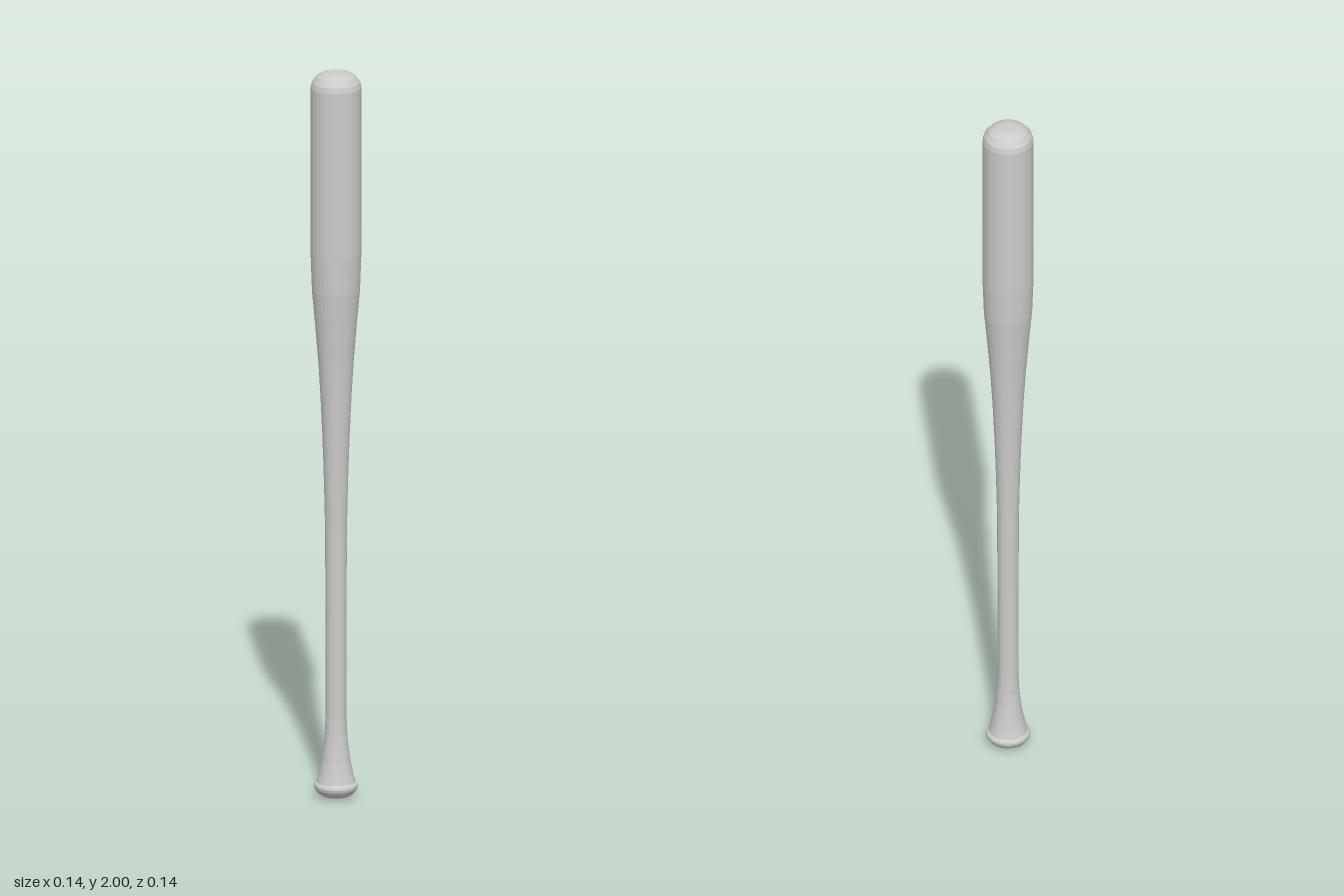
import * as THREE from 'three';

const material = new THREE.MeshStandardMaterial({ color: 0xcccccc, flatShading: true });
const SIDES = 32;

// Turned part from [radius, height] pairs, listed bottom to top
function turned(name, profile) {
  const points = profile.map(([r, y]) => new THREE.Vector2(r, y));
  const mesh = new THREE.Mesh(new THREE.LatheGeometry(points, SIDES), material);
  mesh.name = name;
  return mesh;
}

export function createModel() {
  const bat = new THREE.Group();
  bat.name = 'bat';

  // Rounded knob at the foot, with a thin lip
  bat.add(turned('knob', [
    [0, 0], [0.022, 0.002], [0.038, 0.006], [0.05, 0.015], [0.057, 0.025],
    [0.059, 0.033], [0.057, 0.039], [0.052, 0.043],
  ]));

  // Flared foot running into a slim grip
  bat.add(turned('handle', [
    [0.052, 0.043], [0.046, 0.065], [0.039, 0.1], [0.034, 0.135], [0.03, 0.175],
    [0.028, 0.22], [0.028, 0.5], [0.029, 0.74],
  ]));

  // Taper widening into the barrel
  bat.add(turned('taper', [
    [0.029, 0.74], [0.032, 0.87], [0.036, 0.99], [0.041, 1.1], [0.047, 1.2],
    [0.056, 1.31], [0.064, 1.4], [0.0675, 1.5],
  ]));

  // Barrel with a domed end
  bat.add(turned('barrel', [
    [0.0675, 1.5], [0.0675, 1.957], [0.064, 1.972], [0.052, 1.988],
    [0.04, 1.995], [0.026, 1.999], [0, 2],
  ]));

  return bat;
}
